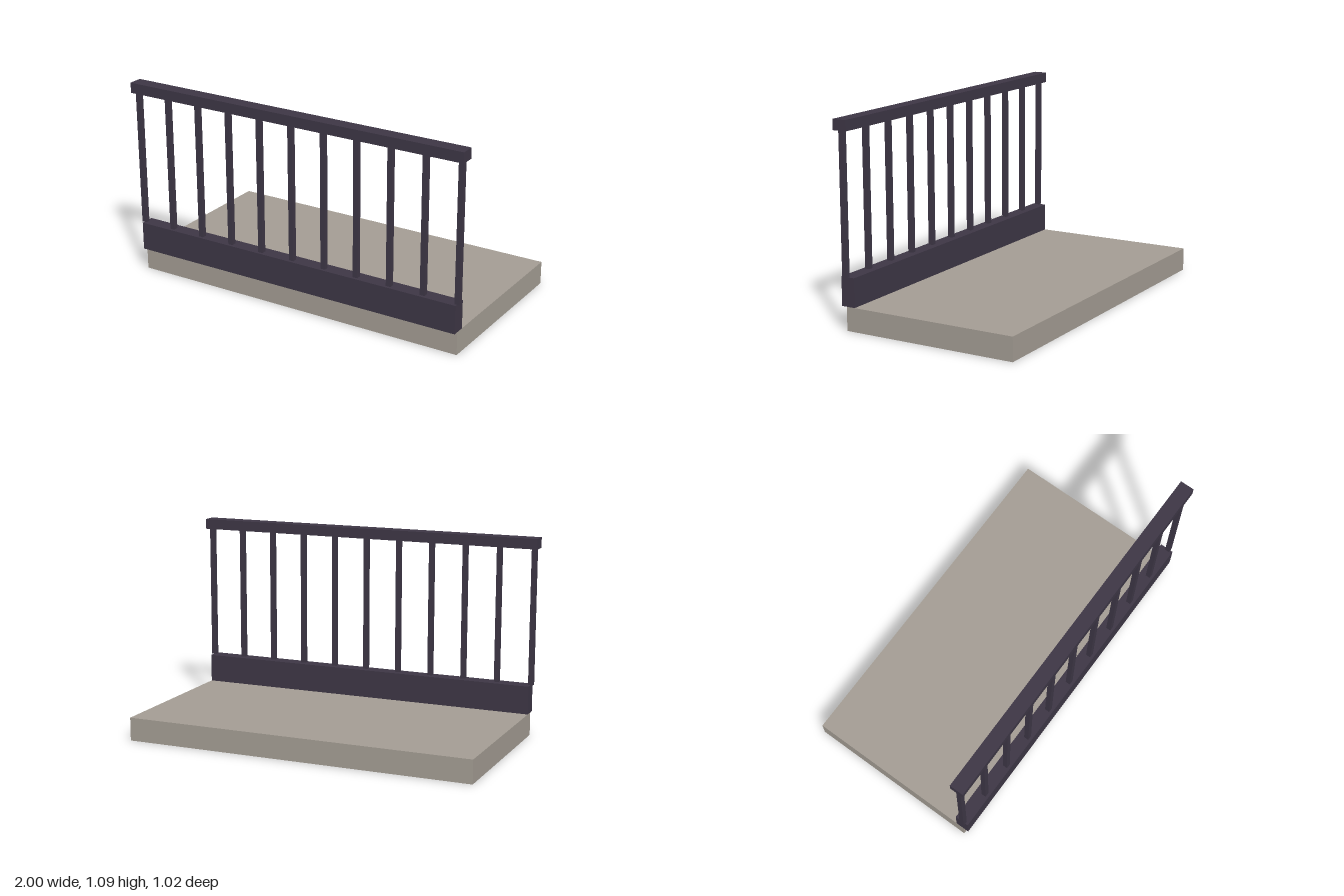
import * as THREE from 'three';

const stone = new THREE.MeshStandardMaterial({ color: 0xa39c93 });
stone.name = 'stone';
const iron = new THREE.MeshStandardMaterial({ color: 0x3d3645 });
iron.name = 'darkIron';

// Box given by its width (centred on x) and its y and z extents
function block(name, material, width, y0, y1, z0, z1, x = 0) {
  const mesh = new THREE.Mesh(new THREE.BoxGeometry(width, y1 - y0, z1 - z0), material);
  mesh.name = name;
  mesh.position.set(x, (y0 + y1) / 2, (z0 + z1) / 2);
  return mesh;
}

export function createModel() {
  const model = new THREE.Group();
  model.name = 'balcony';

  // Floor slab with a kerb along its front edge
  model.add(block('floorSlab', stone, 1.95, 0, 0.128, -0.508, 0.471));
  model.add(block('kerb', iron, 1.95, 0.128, 0.284, 0.422, 0.5));

  // Evenly spaced balusters
  const balusters = new THREE.Group();
  balusters.name = 'balusters';
  const count = 11;
  for (let i = 0; i < count; i++) {
    const x = -0.975 + (1.95 * i) / (count - 1);
    balusters.add(block('baluster', iron, 0.027, 0.284, 1.036, 0.458, 0.485, x));
  }
  model.add(balusters);

  // Handrail
  model.add(block('handrail', iron, 2, 1.036, 1.093, 0.432, 0.51));
  return model;
}
